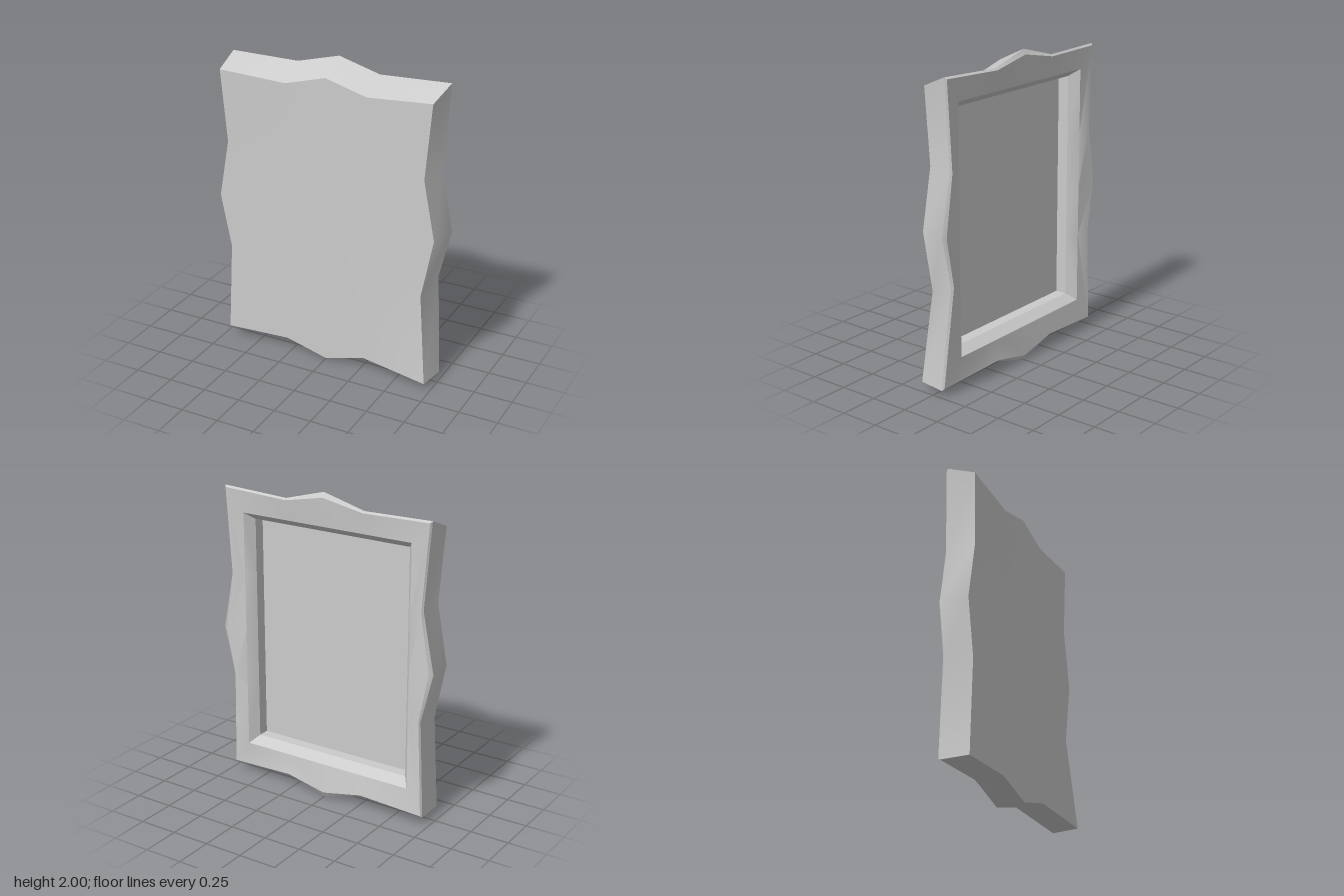
import * as THREE from 'three';
import { toCreasedNormals } from 'three/addons/utils/BufferGeometryUtils.js';

// Outlines run counterclockwise as seen from the front, starting at the lower right corner.
const FRONT = [
  [0.71, 0.04, 0.12], [0.65, 0.62, 0.075], [0.725, 1.01, 0.075], [0.65, 1.39, 0.075],
  [0.69, 1.87, 0.075], [0.27, 1.84, 0.075], [0, 1.915, 0.075], [-0.27, 1.84, 0.078],
  [-0.72, 1.86, 0.087], [-0.685, 1.39, 0.077], [-0.755, 1.01, 0.075], [-0.685, 0.66, 0.075],
  [-0.717, 0.06, 0.078], [-0.28, 0.08, 0.075], [0, 0.005, 0.075], [0.27, 0.08, 0.075],
];
const BACK = [
  [0.737, 0.04, -0.06], [0.69, 0.69, -0.105], [0.765, 1.01, -0.105], [0.69, 1.39, -0.105],
  [0.727, 1.945, -0.105], [0.27, 1.925, -0.105], [0, 2, -0.105], [-0.28, 1.925, -0.103],
  [-0.728, 1.93, -0.092], [-0.69, 1.39, -0.103], [-0.767, 1.01, -0.105], [-0.69, 0.69, -0.105],
  [-0.718, 0.06, -0.105], [-0.28, 0.08, -0.105], [0, 0, -0.105], [0.27, 0.08, -0.105],
];
const clamp = THREE.MathUtils.clamp;

// Surface through a list of matching closed rings, smooth except at sharp corners
function loft(rings) {
  const n = rings[0].length;
  const index = [];
  for (let r = 0; r < rings.length - 1; r++) {
    for (let i = 0; i < n; i++) {
      const j = (i + 1) % n;
      const a = r * n + i, b = a + n, c = (r + 1) * n + j, d = r * n + j;
      // the diagonal avoids the outer corner, so a raised corner stays local
      if (i % 4 === 3) index.push(a, b, d, b, c, d);
      else index.push(a, b, c, a, c, d);
    }
  }
  const geo = new THREE.BufferGeometry();
  geo.setAttribute('position', new THREE.Float32BufferAttribute(rings.flat(2), 3));
  geo.setIndex(index);
  return toCreasedNormals(geo, 0.75);
}

export function createModel() {
  const group = new THREE.Group();
  const material = new THREE.MeshStandardMaterial({ color: 0xcccccc });
  const add = (name, ...rings) => {
    const mesh = new THREE.Mesh(loft(rings), material);
    mesh.name = name;
    group.add(mesh);
  };

  // Rim just inside the back outline, set in further at the four points
  const ridge = BACK.map(([x, y, z], i) => {
    const s = i % 4 === 2 ? 0.967 : 0.988;
    return [x * s, 1 + (y - 1) * s, z - 0.014];
  });
  // Rectangular opening at any depth, optionally widened
  const opening = (z, grow = 0) => FRONT.map(([x, y]) => [
    clamp(x * 0.93, -0.553 - grow, 0.553 + grow),
    clamp(1 + (y - 1) * 0.95, 0.268 - grow, 1.738 + grow), z]);
  const shoulder = opening(-0.1, 0.046);
  const lip = opening(-0.038);
  const floor = opening(0.035);
  const centre = z => FRONT.map(() => [0, 1, z]);
  const inner = FRONT.map(([x, y]) => [x * 0.6, 1 + (y - 1) * 0.6, 0.075]);

  add('frontFace', centre(0.075), inner, FRONT);
  add('outerSides', FRONT, BACK);
  add('backBevel', BACK, ridge);
  // Nearly flat border that dips steeply into the opening
  add('frameBack', ridge, shoulder, lip);
  add('recessWalls', lip, floor);
  add('recessPanel', floor, centre(0.035));
  return group;
}
